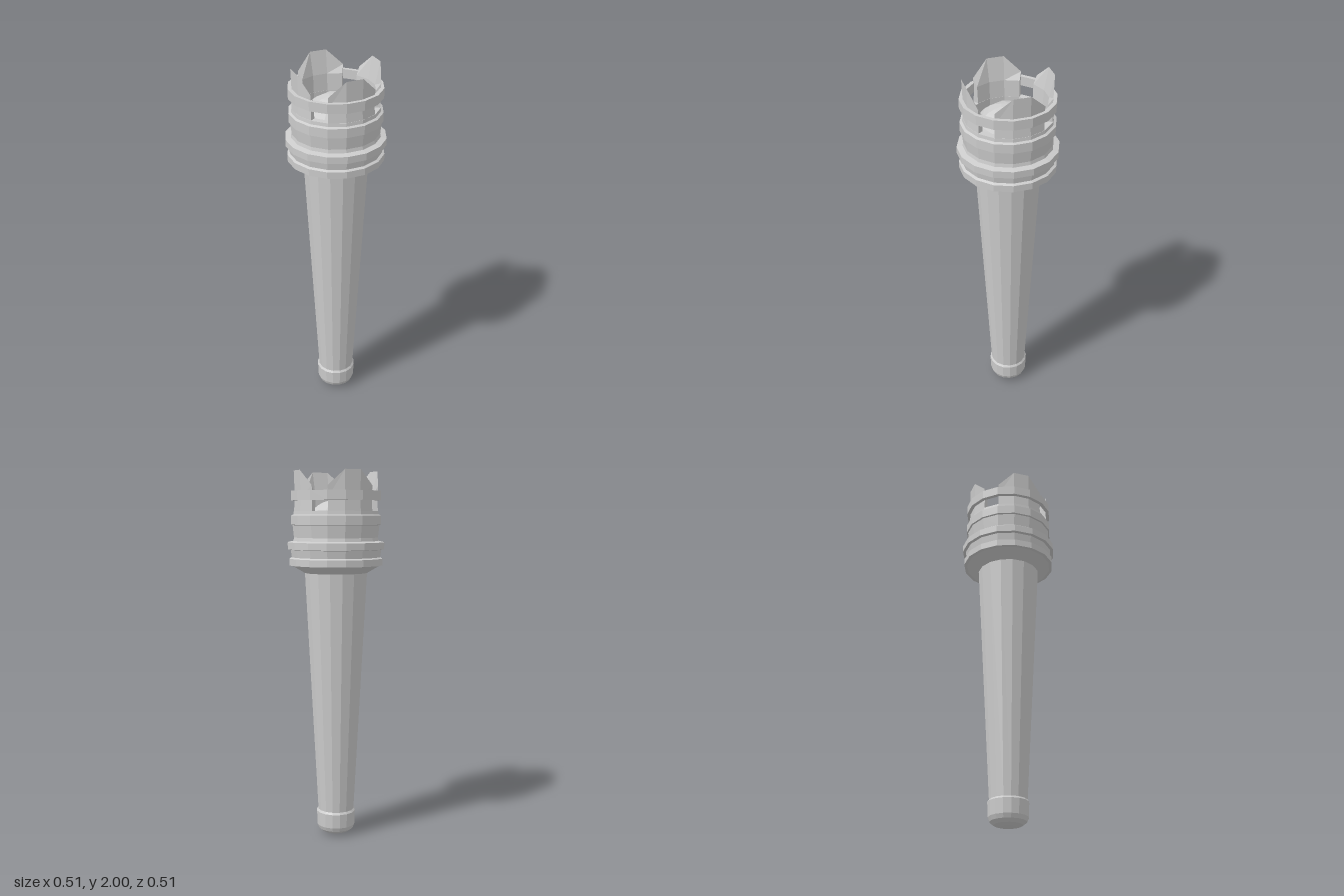
import * as THREE from 'three';

const SIDES = 16;
const STEP = (Math.PI * 2) / SIDES;
const material = new THREE.MeshStandardMaterial({ color: 0xcccccc, flatShading: true, side: THREE.DoubleSide });

function addMesh(parent, name, geometry) {
  const mesh = new THREE.Mesh(geometry, material);
  mesh.name = name;
  parent.add(mesh);
  return mesh;
}

// Sixteen-sided turned part with a flat facet facing each axis; profile is [radius, y]
function turned(profile) {
  return new THREE.LatheGeometry(profile.map(([r, y]) => new THREE.Vector2(r, y)), SIDES, STEP / 2);
}

// Crown prong: a wedge section lofted over three facets, with sloped shoulders
function prongGeometry() {
  const angles = [-1.5, -0.5, 0.5, 1.5].map((k) => k * STEP);
  const tips = [1.92, 2, 2, 1.92];
  const sections = angles.map((a, k) =>
    [[0.228, 1.77], [0.222, 1.86], [0.227, tips[k]], [0.201, 1.88], [0.195, 1.77]]
      .map(([r, y]) => [r * Math.sin(a), y, r * Math.cos(a)]));
  const n = sections[0].length;
  const index = [];
  for (let s = 0; s < 3; s++) {
    for (let i = 0; i < n; i++) {
      const j = (i + 1) % n;
      const a = s * n + i, b = (s + 1) * n + i, c = (s + 1) * n + j, d = s * n + j;
      index.push(a, b, c, a, c, d);
    }
  }
  // End caps, fanned from the inner top corner
  for (const [i, j] of [[0, 1], [1, 2], [4, 0]]) {
    index.push(3, i, j, 3 * n + 3, 3 * n + j, 3 * n + i);
  }
  const geometry = new THREE.BufferGeometry();
  geometry.setAttribute('position', new THREE.Float32BufferAttribute(sections.flat(2), 3));
  geometry.setIndex(index);
  geometry.computeVertexNormals();
  return geometry;
}

export function createModel() {
  const torch = new THREE.Group();
  torch.name = 'torch';

  // Rounded pommel at the foot
  addMesh(torch, 'pommel', turned([
    [0, 0], [0.04, 0.004], [0.075, 0.014], [0.096, 0.03], [0.105, 0.052], [0.108, 0.13], [0.099, 0.142],
  ]));

  // Tapered grip
  addMesh(torch, 'handle', turned([[0.099, 0.13], [0.17, 1.465]]));

  // Flared collar, stacked bands and the cup interior
  addMesh(torch, 'head', turned([
    [0.168, 1.46], [0.185, 1.47], [0.236, 1.5], [0.253, 1.502], [0.253, 1.538], [0.24, 1.545],
    [0.246, 1.585], [0.262, 1.588], [0.262, 1.625], [0.232, 1.632],
    [0.228, 1.65], [0.235, 1.715], [0.243, 1.718], [0.243, 1.766], [0.23, 1.772],
    [0.228, 1.79], [0.195, 1.79], [0.195, 1.66], [0, 1.66],
  ]));

  // Band holding the prongs together, leaving windows beneath it
  addMesh(torch, 'upperBand', turned([
    [0.222, 1.845], [0.243, 1.845], [0.243, 1.895], [0.222, 1.895], [0.222, 1.845],
  ]));

  // Four crown prongs
  const prong = prongGeometry();
  for (let i = 0; i < 4; i++) {
    addMesh(torch, 'prong' + (i + 1), prong).rotation.y = (i * Math.PI) / 2;
  }

  // Eight-sided dome inside the cup
  addMesh(torch, 'dome', new THREE.SphereGeometry(0.19, 8, 8, 0, Math.PI * 2, 0, Math.PI / 2))
    .position.y = 1.66;

  return torch;
}
